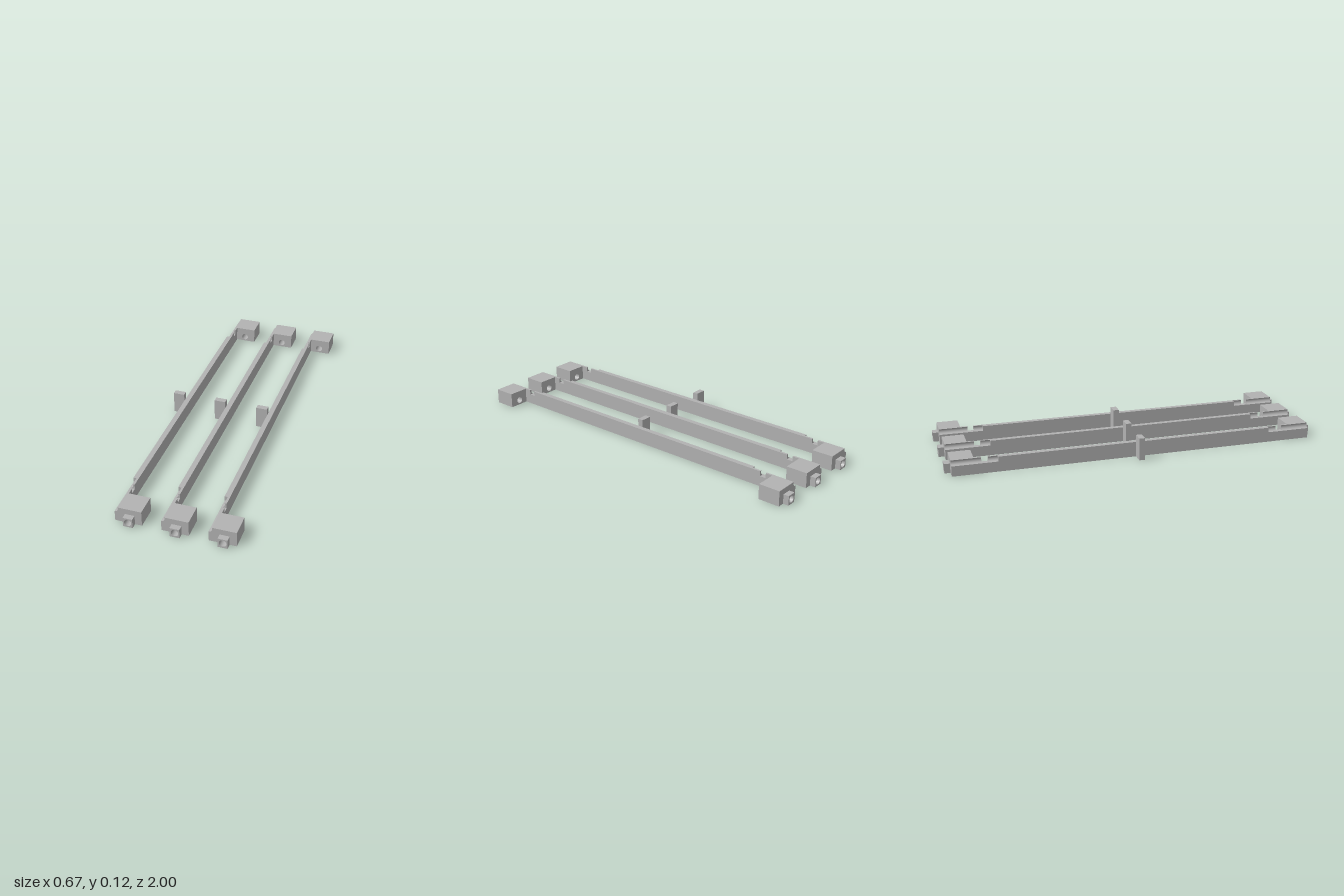
import * as THREE from 'three';

const H = 0.08;             // rail and block height
const L = -0.04;            // back face of the rail
const RAIL_R = -0.013;      // front face of the rail
const BLOCK_R = 0.0975;     // outer face of the end block
const HOLE = { x: 0.038, y: 0.026, r: 0.0185 };

// Rectangular section
function rect(x0, x1, y0, y1) {
  const s = new THREE.Shape();
  s.moveTo(x0, y0);
  s.lineTo(x1, y0);
  s.lineTo(x1, y1);
  s.lineTo(x0, y1);
  s.closePath();
  return s;
}

// Rectangular section with a round groove along its upper left edge
function grooved(x1) {
  const r = 0.018, cy = 0.072, a = Math.asin((H - cy) / r);
  const s = new THREE.Shape();
  s.moveTo(L, 0);
  s.lineTo(x1, 0);
  s.lineTo(x1, H);
  s.lineTo(L + r * Math.cos(a), H);
  s.absarc(L, cy, r, a, -Math.PI / 2, true);
  s.closePath();
  return s;
}

// Adds the round bore to a section
function bored(shape) {
  const p = new THREE.Path();
  p.absarc(HOLE.x, HOLE.y, HOLE.r, 0, Math.PI * 2, true);
  shape.holes.push(p);
  return shape;
}

export function createModel() {
  const grey = new THREE.MeshStandardMaterial({ color: 0xb2b2b2 });
  grey.name = 'plain grey';

  const model = new THREE.Group();
  model.name = 'railSet';

  // Extrudes a section between two z positions
  const add = (parent, name, shape, z0, z1) => {
    const geo = new THREE.ExtrudeGeometry(shape, { depth: z1 - z0, bevelEnabled: false, curveSegments: 24 });
    geo.translate(0, 0, z0);
    const mesh = new THREE.Mesh(geo, grey);
    mesh.name = name;
    parent.add(mesh);
  };

  // Parts at each end, from the middle outwards
  const endParts = [
    ['groovedRail', grooved(RAIL_R), 0.735, 0.785],
    ['notchFloor', rect(L, RAIL_R, 0, 0.054), 0.785, 0.818],
    ['groovedRailEnd', grooved(RAIL_R), 0.818, 0.855],
    ['endBlock', bored(grooved(BLOCK_R)), 0.855, 0.97],
    ['endNub', bored(rect(0.013, 0.062, 0, 0.05)), 0.97, 1],
  ];

  for (const offset of [-0.236, 0, 0.236]) {
    const unit = new THREE.Group();
    unit.name = 'rail';
    unit.position.x = offset + 0.001;
    add(unit, 'railBar', rect(L, RAIL_R, 0, H), -0.735, 0.735);
    add(unit, 'centreTab', rect(-0.1, L, 0, 0.119), -0.015, 0.015);
    for (const [name, shape, z0, z1] of endParts) {
      add(unit, name, shape, z0, z1);
      add(unit, name, shape, -z1, -z0);
    }
    model.add(unit);
  }
  return model;
}
